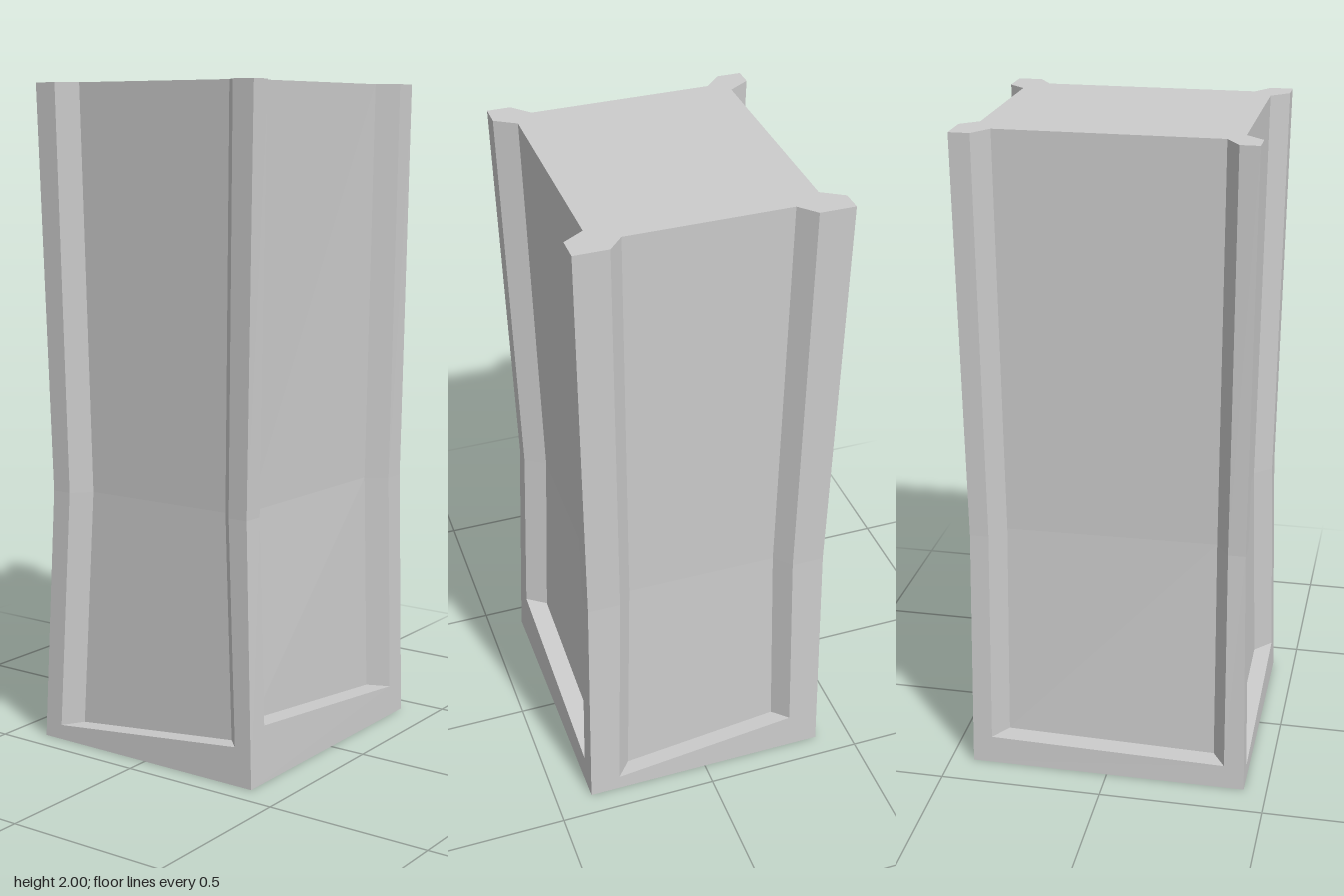
import * as THREE from 'three';

// Corner posts at three heights, in order round the pillar: [x, z] at foot, waist and top
const LEVELS = [0, 0.78, 2];
const CORNERS = [
  [[-0.39, 0.43], [-0.357, 0.412], [-0.39, 0.425]],
  [[0.387, 0.43], [0.357, 0.412], [0.387, 0.425]],
  [[0.387, -0.428], [0.374, -0.417], [0.387, -0.43]],
  [[-0.39, -0.428], [-0.374, -0.417], [-0.39, -0.43]],
];

// Each side, seen from outside: half widths of the recess at sill, waist and top,
// its bevel width, its depth and the sill heights at its left and right ends
const SIDES = [
  { name: 'front', half: [0.328, 0.295, 0.318], bevel: 0.049, depth: 0.053, sill: [0.045, 0.115] },
  { name: 'left', half: [0.355, 0.349, 0.358], bevel: 0.04, depth: 0.063, sill: [0.17, 0.095] },
  { name: 'back', half: [0.292, 0.275, 0.285], bevel: 0.045, depth: 0.05, sill: [0.05, 0.122] },
  { name: 'right', half: [0.367, 0.36, 0.368], bevel: 0.041, depth: 0.064, sill: [0.09, 0.075] },
];

const material = new THREE.MeshStandardMaterial({ color: 0xcccccc, flatShading: true });

function cornerAt(i, y) {
  const k = y < LEVELS[1] ? 0 : 1;
  const t = (y - LEVELS[k]) / (LEVELS[k + 1] - LEVELS[k]);
  const [a, b] = [CORNERS[i % 4][k], CORNERS[i % 4][k + 1]];
  return new THREE.Vector3(a[0] + (b[0] - a[0]) * t, y, a[1] + (b[1] - a[1]) * t);
}

// Mesh from quads or triangles with corners counter-clockwise as seen from outside
function facesMesh(name, faces) {
  const points = [];
  for (const f of faces) {
    for (let k = 1; k < f.length - 1; k++) points.push(f[0], f[k], f[k + 1]);
  }
  const geometry = new THREE.BufferGeometry().setFromPoints(points);
  geometry.computeVertexNormals();
  const mesh = new THREE.Mesh(geometry, material);
  mesh.name = name;
  return mesh;
}

// Edge points of one side at sill, waist and top
function sidePoints(i) {
  const { half, bevel, depth, sill } = SIDES[i];
  const angle = i * Math.PI / 2;
  const along = new THREE.Vector3(Math.cos(angle), 0, -Math.sin(angle));
  const inward = new THREE.Vector3(-Math.sin(angle), 0, -Math.cos(angle));

  const point = (a, level, sunk) => {
    const t = (a / half[0] + 1) / 2;
    const y = level === 0 ? sill[0] + (sill[1] - sill[0]) * t : LEVELS[level];
    const [l, r] = [cornerAt(i, y), cornerAt(i + 1, y)];
    const [la, ra] = [l.dot(along), r.dot(along)];
    return l.lerp(r, (a - la) / (ra - la)).addScaledVector(inward, sunk);
  };
  return [0, 1, 2].map((k) => ({
    cornerL: cornerAt(i, LEVELS[k]),
    lipL: point(-half[k], k, 0),
    innerL: point(-half[k] + bevel, k, depth),
    innerR: point(half[k] - bevel, k, depth),
    lipR: point(half[k], k, 0),
    cornerR: cornerAt(i + 1, LEVELS[k]),
  }));
}

export function createModel() {
  const pillar = new THREE.Group();
  pillar.name = 'pillar';
  const outline = [];

  SIDES.forEach((side, i) => {
    const rows = sidePoints(i);
    const strip = (from, to) => [0, 1].map((k) =>
      [rows[k][from], rows[k][to], rows[k + 1][to], rows[k + 1][from]]);
    const low = rows[0];
    const group = new THREE.Group();
    group.name = side.name + 'Side';
    group.add(
      // Raised border: two posts and the foot strip
      facesMesh(side.name + 'Border', [
        ...strip('cornerL', 'lipL'), ...strip('lipR', 'cornerR'),
        [low.cornerL, low.cornerR, low.lipR, low.lipL],
      ]),
      // Slanting cheeks of the recess
      facesMesh(side.name + 'Bevels', [...strip('lipL', 'innerL'), ...strip('innerR', 'lipR')]),
      facesMesh(side.name + 'Sill', [[low.lipL, low.lipR, low.innerR, low.innerL]]),
      facesMesh(side.name + 'Panel', strip('innerL', 'innerR')),
    );
    pillar.add(group);
    const top = rows[2];
    outline.push(top.cornerL, top.lipL, top.innerL, top.innerR, top.lipR);
  });

  // Notched top and flat underside
  const flat = outline.map((p) => new THREE.Vector2(p.x, -p.z));
  const triangles = THREE.ShapeUtils.triangulateShape(flat, []);
  pillar.add(facesMesh('top', triangles.map((t) => t.map((n) => outline[n]))));
  pillar.add(facesMesh('underside', [[3, 2, 1, 0].map((i) => cornerAt(i, 0))]));
  return pillar;
}
